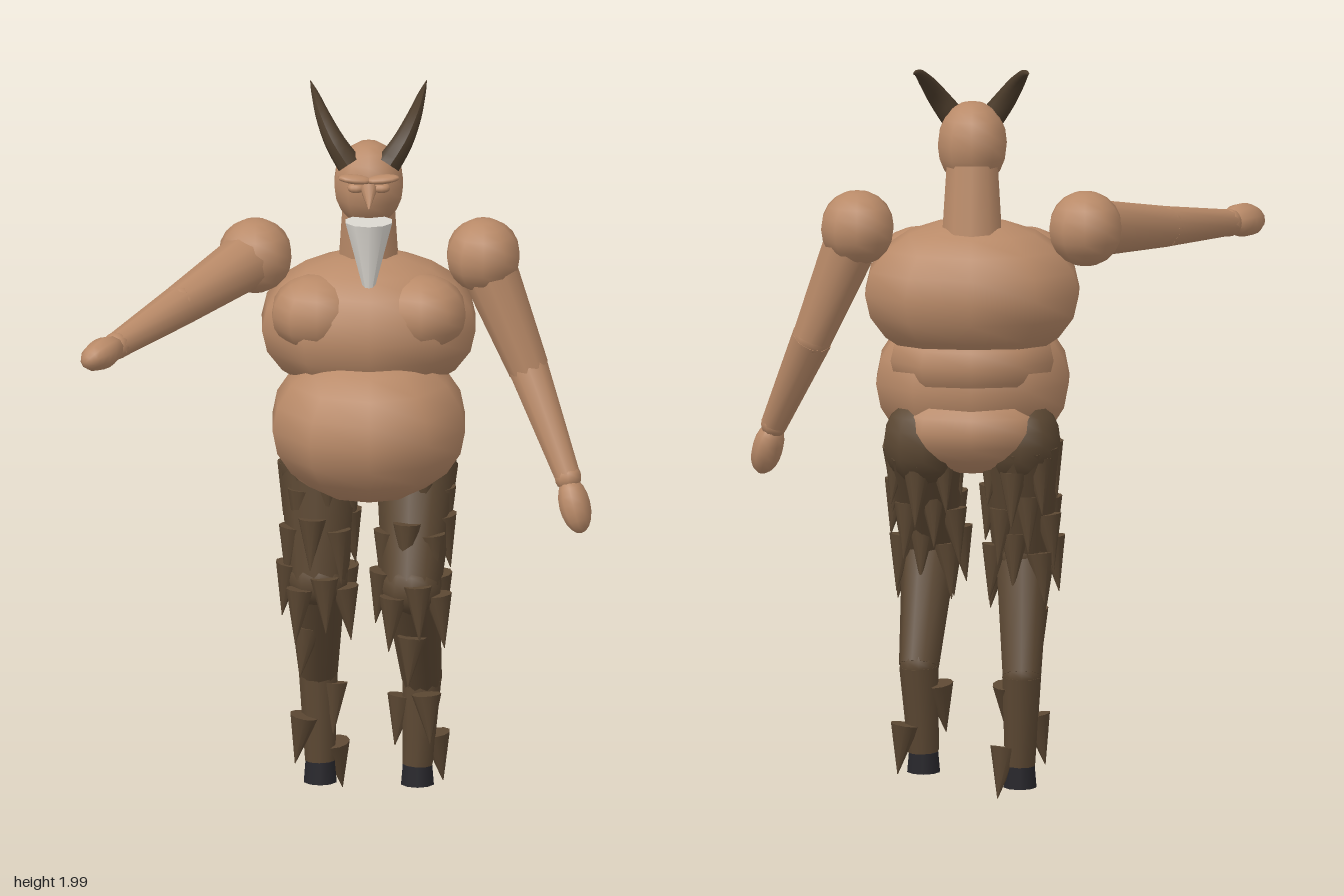
import * as THREE from 'three';

const mat = (name, color) => {
  const m = new THREE.MeshStandardMaterial({ color });
  m.name = name;
  return m;
};
const V = (p) => new THREE.Vector3(...p);
const UP = new THREE.Vector3(0, 1, 0);
const MID = 0.085; // x of the body's mirror plane

export function createModel() {
  const skin = mat('skin', 0xb98a68);
  const fur = mat('fur', 0x5c4833);
  const horn = mat('horn', 0x4c3c2b);
  const hoof = mat('hoof', 0x27262b);
  const beardHair = mat('beardHair', 0xdedad3);
  const model = new THREE.Group();
  model.name = 'hornedFigure';

  const add = (parent, name, geometry, material) => {
    const m = new THREE.Mesh(geometry, material);
    m.name = name;
    parent.add(m);
    return m;
  };
  const group = (name) => {
    const g = new THREE.Group();
    g.name = name;
    model.add(g);
    return g;
  };
  // ten-sided ellipsoid
  const ball = (parent, name, p, r, material = skin) => {
    const g = new THREE.SphereGeometry(1, 10, 10).rotateY(Math.PI / 2);
    const m = add(parent, name, g, material);
    m.position.set(...p);
    m.scale.set(...(r.length ? r : [r, r, r]));
    return m;
  };
  // tapered limb from a to b
  const limb = (parent, name, a, b, ra, rb, material = skin) => {
    const d = V(b).sub(V(a));
    const m = add(parent, name, new THREE.CylinderGeometry(rb, ra, d.length(), 10), material);
    m.position.copy(V(a)).addScaledVector(d, 0.5);
    m.quaternion.setFromUnitVectors(UP, d.normalize());
    return m;
  };

  // Torso
  const torso = group('torso');
  ball(torso, 'chest', [MID, 1.375, -0.2], [0.302, 0.2, 0.222]);
  ball(torso, 'waist', [MID, 1.19, -0.18], [0.23, 0.14, 0.2]);
  ball(torso, 'belly', [MID, 1.12, -0.115], [0.272, 0.212, 0.252]);
  ball(torso, 'pelvis', [MID, 1.01, -0.19], [0.23, 0.13, 0.195]);
  for (const s of [-1, 1]) ball(torso, 'breast', [MID + s * 0.14, 1.43, -0.115], [0.126, 0.106, 0.115]);

  // Head, face and beard
  const head = group('head');
  limb(head, 'neck', [MID, 1.52, -0.235], [MID, 1.72, -0.21], 0.085, 0.072);
  ball(head, 'skull', [MID, 1.775, -0.19], [0.097, 0.117, 0.1]);
  limb(head, 'nose', [MID, 1.79, -0.1], [MID, 1.745, -0.052], 0.024, 0.002);
  limb(head, 'beard', [MID, 1.702, -0.083], [MID, 1.46, -0.065], 0.066, 0.001, beardHair);
  for (const s of [-1, 1]) {
    ball(head, 'eye', [MID + s * 0.034, 1.79, -0.102], [0.024, 0.014, 0.018]);
    ball(head, 'brow', [MID + s * 0.037, 1.816, -0.097], [0.047, 0.012, 0.022]).rotation.z = s * 0.1;
  }

  // Horns: tubes thinned along a curve
  const hornGeometry = (s) => {
    const curve = new THREE.CatmullRomCurve3([
      [0.052, 1.84, -0.15], [0.09, 1.895, -0.17], [0.122, 1.95, -0.222],
      [0.142, 1.985, -0.295], [0.156, 1.999, -0.38],
    ].map(([x, y, z]) => new THREE.Vector3(MID + s * x, y, z)));
    const rings = 14, sides = 8;
    const g = new THREE.TubeGeometry(curve, rings, 0.034, sides);
    const pos = g.attributes.position, v = new THREE.Vector3();
    for (let i = 0; i < pos.count; i++) {
      const t = Math.floor(i / (sides + 1)) / rings;
      const c = curve.getPointAt(t);
      v.fromBufferAttribute(pos, i).sub(c).multiplyScalar(1 - 0.97 * t ** 1.2).add(c);
      pos.setXYZ(i, v.x, v.y, v.z);
    }
    g.computeVertexNormals();
    return g;
  };
  for (const s of [-1, 1]) add(head, 'horn', hornGeometry(s), horn);

  // Arms: the right reaches forward, the left hangs
  const arms = [
    { name: 'rightArm', shoulder: [-0.22, 1.553, -0.235], elbow: [-0.425, 1.508, 0.05],
      wrist: [-0.595, 1.477, 0.29], hand: [-0.633, 1.475, 0.347] },
    { name: 'leftArm', shoulder: [0.393, 1.553, -0.235], elbow: [0.515, 1.245, -0.19],
      wrist: [0.62, 0.985, -0.05], hand: [0.638, 0.915, -0.025] },
  ];
  for (const a of arms) {
    const arm = group(a.name);
    ball(arm, 'shoulder', a.shoulder, 0.102);
    limb(arm, 'upperArm', a.shoulder, a.elbow, 0.08, 0.056);
    ball(arm, 'elbow', a.elbow, 0.055);
    limb(arm, 'forearm', a.elbow, a.wrist, 0.056, 0.036);
    ball(arm, 'wrist', a.wrist, 0.037);
    const hand = ball(arm, 'hand', a.hand, [0.05, 0.078, 0.042]);
    hand.quaternion.setFromUnitVectors(UP, V(a.hand).sub(V(a.wrist)).normalize());
  }

  // Legs: goat-jointed, tufts are [x, y, z] of the tuft centre then tip lean in x and z
  const legs = [
    { name: 'rightLeg', hip: [-0.045, 0.97, -0.23], knee: [-0.05, 0.66, -0.165],
      hock: [-0.05, 0.345, -0.31], ankle: [-0.045, 0.1, -0.293], foot: [-0.045, 0.04, -0.29],
      tufts: [[-0.09, 0.44, -0.19, -0.02, 0.02], [-0.01, 0.25, -0.28, 0, 0.03],
        [-0.1, 0.165, -0.27, -0.025, 0], [0.005, 0.08, -0.31, 0.02, -0.02]] },
    { name: 'leftLeg', hip: [0.215, 0.97, -0.23], knee: [0.2, 0.67, -0.065],
      hock: [0.228, 0.355, -0.215], ankle: [0.216, 0.12, -0.2], foot: [0.216, 0.065, -0.197],
      tufts: [[0.195, 0.46, -0.05, -0.01, 0.02], [0.245, 0.28, -0.1, 0.01, 0.02],
        [0.165, 0.24, -0.21, -0.02, 0.02], [0.275, 0.13, -0.23, 0.02, 0]] },
  ];
  const tuft = (parent, [x, y, z, dx, dz], h = 0.136, r = 0.04) =>
    limb(parent, 'furTuft', [x - dx / 2, y + h / 2, z - dz / 2], [x + dx / 2, y - h / 2, z + dz / 2], r, 0.001, fur);
  for (const l of legs) {
    const leg = group(l.name);
    ball(leg, 'hip', l.hip, [0.112, 0.125, 0.115], fur);
    limb(leg, 'thigh', l.hip, l.knee, 0.112, 0.08, fur);
    ball(leg, 'knee', l.knee, [0.082, 0.078, 0.085], fur);
    limb(leg, 'shin', l.knee, l.hock, 0.076, 0.054, fur);
    ball(leg, 'hock', l.hock, 0.053, fur);
    limb(leg, 'lowerLeg', l.hock, l.ankle, 0.054, 0.042, fur);
    limb(leg, 'hoof', l.ankle, l.foot, 0.041, 0.046, hoof);
    // three rings of shaggy tufts down the thigh
    for (let ring = 0; ring < 3; ring++) {
      const c = V(l.hip).lerp(V(l.knee), 0.15 + ring * 0.4);
      for (let i = 0; i < 7; i++) {
        const a = ((i + ring * 0.5) / 7) * Math.PI * 2 + 0.2;
        const drop = ((i * 3 + ring * 2) % 5) * 0.018;
        const x = Math.sin(a), z = Math.cos(a);
        tuft(leg, [c.x + x * 0.088, c.y - drop - 0.03, c.z + z * 0.09, x * 0.02, z * 0.02], 0.15, 0.038);
      }
    }
    for (const t of l.tufts) tuft(leg, t);
  }
  return model;
}
